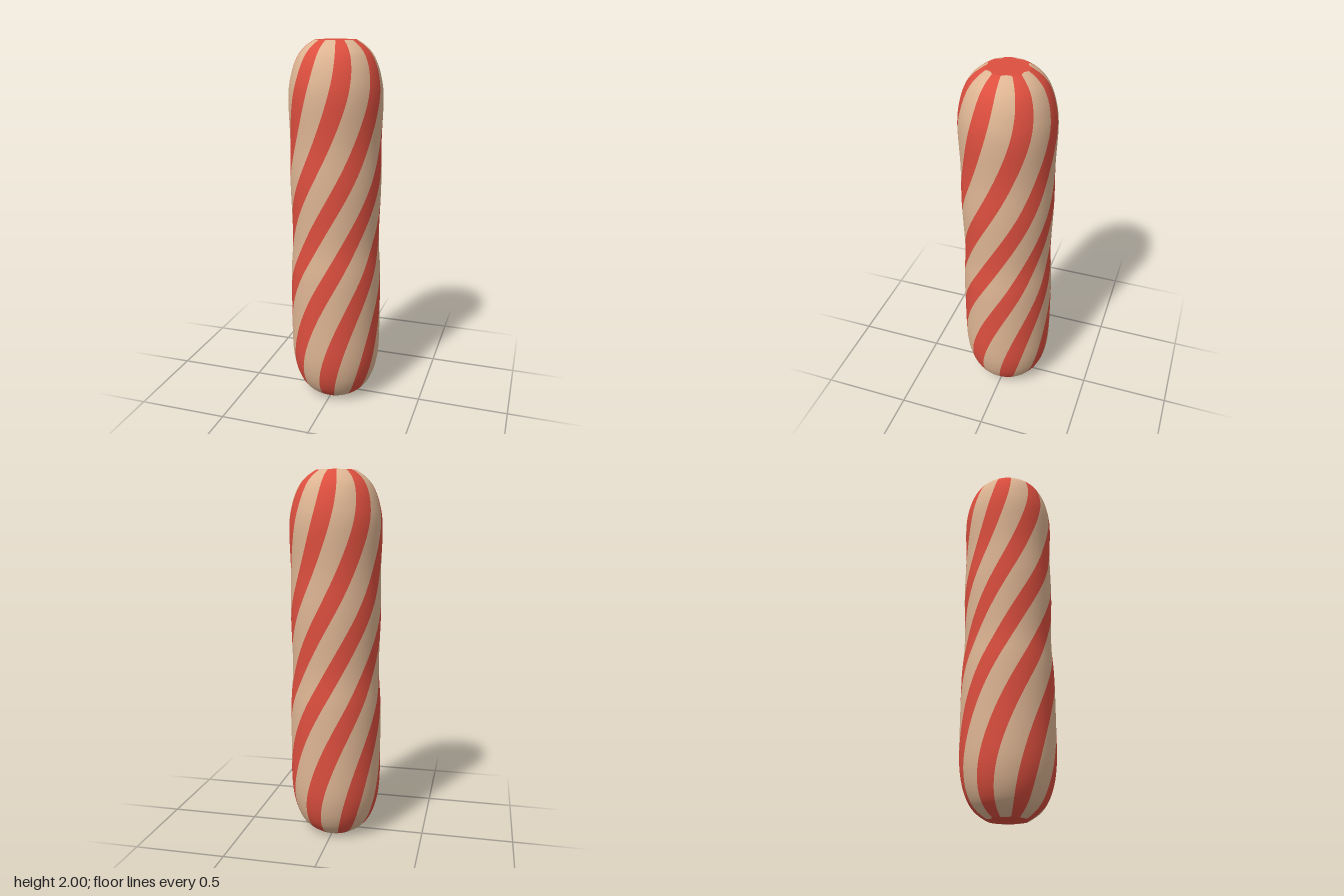
import * as THREE from 'three';

const STRIPES = 7;
const PITCH = (Math.PI * 2) / STRIPES;
const CREAM_HALF = THREE.MathUtils.degToRad(14);
const TIP_START = 0.1; // radius where the cream stripes begin on the end caps

// Rows of the stick from the bottom centre, up the side, to the top centre
function makeRows() {
  const flat = [0, 0.1, 0.101, 0.103, 0.106];
  const side = new THREE.SplineCurve([
    [0.11, 0], [0.16, 0.035], [0.2, 0.085], [0.232, 0.17], [0.249, 0.29],
    [0.251, 0.5], [0.249, 0.75], [0.238, 0.95], [0.246, 1.25], [0.243, 1.48],
    [0.249, 1.71], [0.232, 1.83], [0.2, 1.915], [0.16, 1.965], [0.11, 2],
  ].map(([r, y]) => new THREE.Vector2(r, y))).getPoints(98);
  return [
    ...flat.map((r) => new THREE.Vector2(r, 0)),
    ...side,
    ...flat.reverse().map((r) => new THREE.Vector2(r, 2)),
  ];
}

// Half a turn over the height, easing in and out at the ends
const twist = (y) => THREE.MathUtils.degToRad(2) - Math.PI * (1 - THREE.MathUtils.smoothstep(y, 0, 2));

// Half angle of a cream stripe, rounded off at its tips
const creamHalf = (r) => CREAM_HALF * Math.sqrt(THREE.MathUtils.clamp((r - TIP_START) / 0.012, 0, 1));

// One twisted strip of the surface, centred on an angle
function stripGeometry(rows, centre, halfAngle, columns = 4) {
  const position = [], normal = [], index = [];
  rows.forEach((p, i) => {
    const before = rows[Math.max(i - 1, 0)];
    const after = rows[Math.min(i + 1, rows.length - 1)];
    const n = new THREE.Vector2(after.y - before.y, before.x - after.x).normalize();
    for (let j = 0; j <= columns; j++) {
      const a = centre + twist(p.y) + halfAngle(p.x) * ((2 * j) / columns - 1);
      position.push(p.x * Math.sin(a), p.y, p.x * Math.cos(a));
      normal.push(n.x * Math.sin(a), n.y, n.x * Math.cos(a));
      if (i < rows.length - 1 && j < columns) {
        const k = i * (columns + 1) + j, up = k + columns + 1;
        index.push(k, k + 1, up, k + 1, up + 1, up);
      }
    }
  });
  const geometry = new THREE.BufferGeometry();
  geometry.setAttribute('position', new THREE.Float32BufferAttribute(position, 3));
  geometry.setAttribute('normal', new THREE.Float32BufferAttribute(normal, 3));
  geometry.setIndex(index);
  return geometry;
}

export function createModel() {
  const red = new THREE.MeshStandardMaterial({ color: 0xdd4f3f });
  red.name = 'candyRed';
  const cream = new THREE.MeshStandardMaterial({ color: 0xdeb593 });
  cream.name = 'candyCream';

  const rows = makeRows();
  const creamGeometry = stripGeometry(rows.filter((p) => p.x >= TIP_START), 0, creamHalf);
  // Red strips fill the gaps and close both end caps
  const redGeometry = stripGeometry(rows, PITCH / 2, (r) => PITCH / 2 - creamHalf(r));

  const model = new THREE.Group();
  model.name = 'candyStick';
  for (let i = 0; i < STRIPES; i++) {
    for (const [name, geometry, material] of [
      ['creamStripe', creamGeometry, cream],
      ['redStripe', redGeometry, red],
    ]) {
      const stripe = new THREE.Mesh(geometry, material);
      stripe.name = name + (i + 1);
      stripe.rotation.y = i * PITCH;
      model.add(stripe);
    }
  }
  return model;
}
